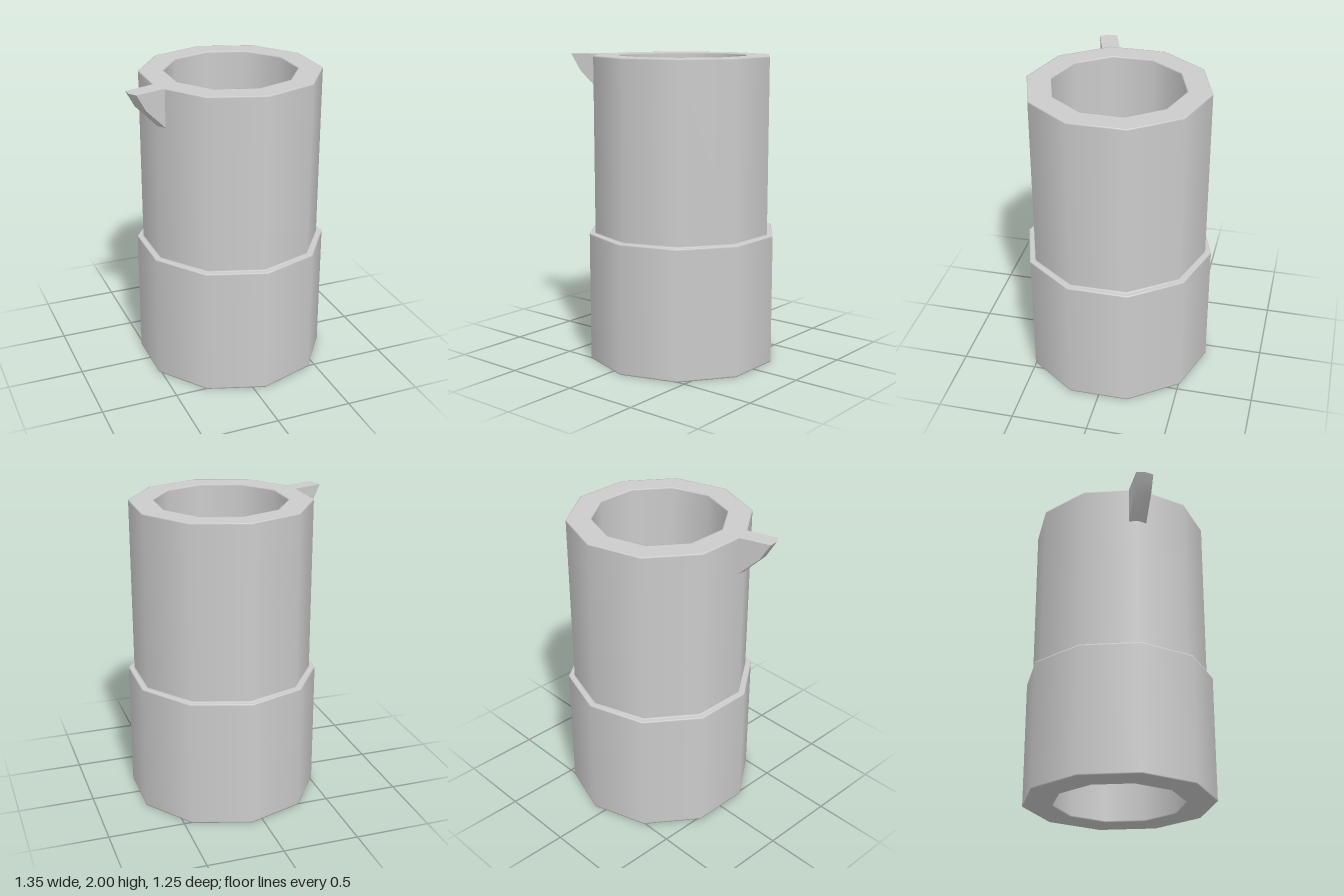
import * as THREE from 'three';
import { toCreasedNormals } from 'three/addons/utils/BufferGeometryUtils.js';

// Adds a tight point either side of every inner corner, so shading softens only at the edges
function withEdgeLoops(corners, gap) {
  const pts = corners.map(([r, y]) => new THREE.Vector2(r, y));
  return pts.flatMap((p, i) => {
    if (i === 0 || i === pts.length - 1) return [p];
    const toward = (q) => p.clone().add(q.clone().sub(p).setLength(gap));
    return [toward(pts[i - 1]), p, toward(pts[i + 1])];
  });
}

// Wedge lofted upward through pentagonal sections; x points away from the wall
function spoutGeometry() {
  const half = 0.058, root = 0.53;
  const sections = [[1.75, 0.566, 0.585], [1.89, 0.71, 0.725], [2, 0.775, 0.79]];
  const pos = [], index = [], n = 5;
  for (const [y, side, nose] of sections) {
    pos.push(root, y, half, side, y, half, nose, y, 0, side, y, -half, root, y, -half);
  }
  for (let s = 0; s < sections.length - 1; s++) {
    for (let i = 0; i < n - 1; i++) {
      const a = s * n + i, b = a + 1;
      index.push(a, b, b + n, a, b + n, a + n);
    }
  }
  const top = (sections.length - 1) * n;
  for (let i = 1; i < n - 1; i++) index.push(top, top + i, top + i + 1);
  const geo = new THREE.BufferGeometry();
  geo.setAttribute('position', new THREE.Float32BufferAttribute(pos, 3));
  geo.setIndex(index);
  return toCreasedNormals(geo, THREE.MathUtils.degToRad(50));
}

export function createModel() {
  const group = new THREE.Group();
  const material = new THREE.MeshStandardMaterial({ color: 0xcccccc, side: THREE.DoubleSide });

  // Ten-sided stepped tower, hollow above and below a thin floor
  const bore = 0.43, upper = 0.587, base = 0.626, step = 0.85;
  const profile = withEdgeLoops([
    [0, step - 0.02], [bore, step - 0.02], [bore, 0], [base, 0], [base, step],
    [upper, step], [upper, 2], [bore, 2], [bore, step + 0.02], [0, step + 0.02],
  ], 0.009);
  const tower = new THREE.Mesh(new THREE.LatheGeometry(profile, 10), material);
  tower.name = 'tower';

  // Spout on one corner of the rim
  const spout = new THREE.Mesh(spoutGeometry(), material);
  spout.name = 'spout';
  spout.rotation.y = THREE.MathUtils.degToRad(198);

  group.add(tower, spout);
  group.position.x = 0.08;
  const model = new THREE.Group();
  model.name = 'spoutedTower';
  model.add(group);
  return model;
}
